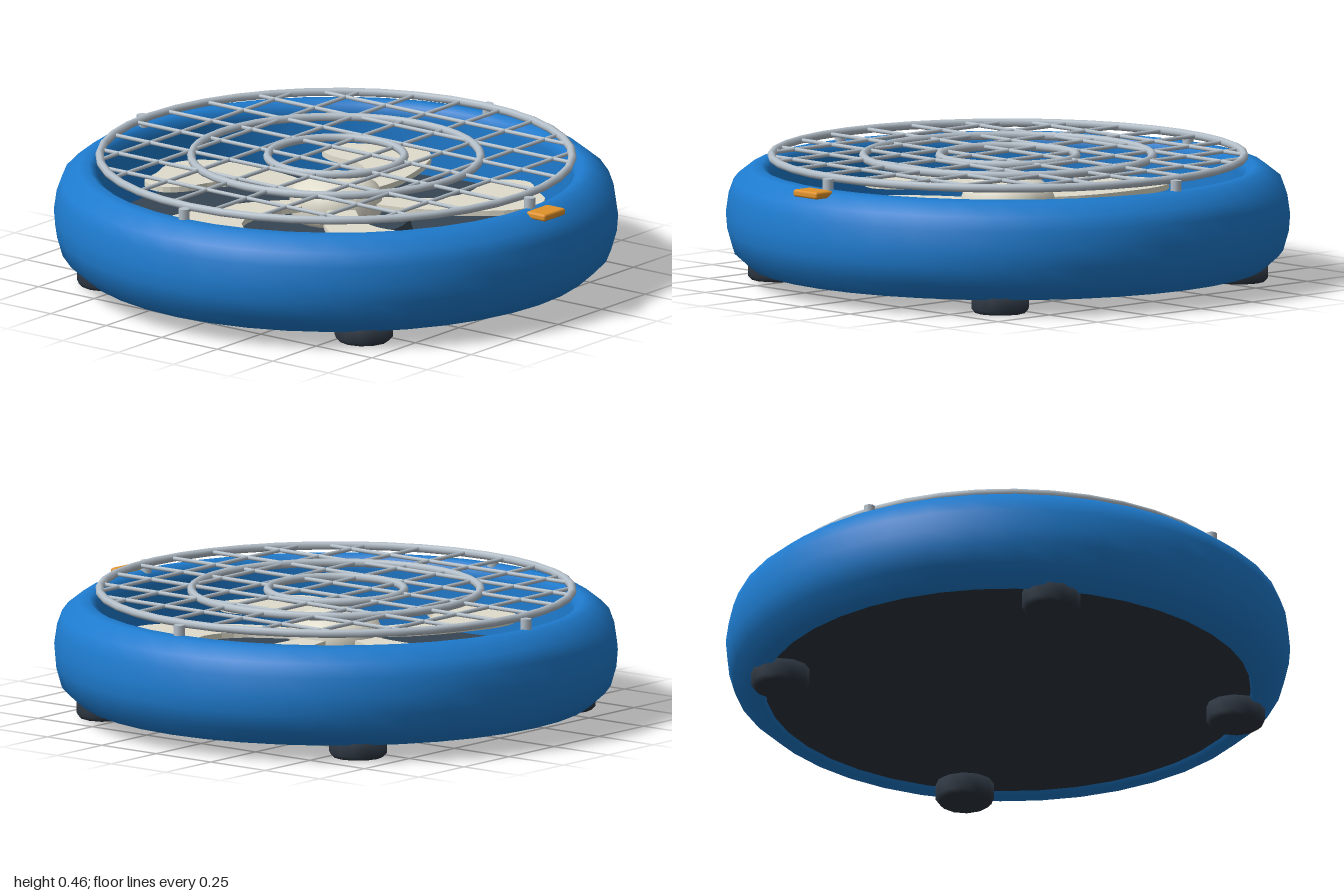
import * as THREE from 'three';
import { RoundedBoxGeometry } from 'three/addons/geometries/RoundedBoxGeometry.js';

const paint = (name, color) => {
  const m = new THREE.MeshStandardMaterial({ color });
  m.name = name;
  return m;
};

export function createModel() {
  const blue = paint('housing blue', 0x1e7bce);
  const slate = paint('floor slate', 0x364453);
  const dark = paint('dark rubber', 0x2d3641);
  const cream = paint('blade cream', 0xe0ddcd);
  const steel = paint('guard steel', 0xb4bfc9);
  const orange = paint('tab orange', 0xe0922b);

  const model = new THREE.Group();
  model.name = 'floorFan';
  const add = (name, geometry, material, x = 0, y = 0, z = 0, parent = model) => {
    const mesh = new THREE.Mesh(geometry, material);
    mesh.name = name;
    mesh.position.set(x, y, z);
    parent.add(mesh);
    return mesh;
  };
  const lathe = (pts, segments) =>
    new THREE.LatheGeometry(pts.map(([x, y]) => new THREE.Vector2(x, y)), segments);

  // Rounded ring housing, from the bottom inner edge around the outside and back down the well
  add('housing', lathe([
    [0.855, 0.08], [0.87, 0.055], [0.915, 0.056], [0.975, 0.11], [0.995, 0.18], [1, 0.24],
    [0.99, 0.31], [0.972, 0.36], [0.915, 0.405], [0.875, 0.41], [0.85, 0.395], [0.84, 0.36], [0.84, 0.1],
  ], 40), blue);

  // Base plate, well floor and motor housing
  add('basePlate', new THREE.CylinderGeometry(0.86, 0.86, 0.04, 40), dark, 0, 0.09);
  add('wellFloor', new THREE.CylinderGeometry(0.845, 0.845, 0.05, 40), slate, 0, 0.13);
  add('motorHousing', new THREE.CylinderGeometry(0.26, 0.28, 0.07, 28), slate, 0, 0.185);

  // Feet
  for (const x of [-0.58, 0.58]) for (const z of [-0.58, 0.58]) {
    add('foot', lathe([[0, 0], [0.09, 0], [0.104, 0.015], [0.104, 0.075], [0, 0.075]], 12), dark, x, 0, z);
  }

  // Rotor: domed hub and five flat swept blades
  const rotor = new THREE.Group();
  rotor.name = 'rotor';
  model.add(rotor);
  add('hub', lathe([
    [0, 0.22], [0.15, 0.22], [0.165, 0.25], [0.165, 0.3], [0.15, 0.335], [0.11, 0.362], [0.06, 0.376], [0, 0.38],
  ], 24), cream, 0, 0, 0, rotor);

  const outline = new THREE.SplineCurve([
    [0.06, 0.12], [0.12, 0.26], [0.143, 0.41], [0.138, 0.6], [0.08, 0.705], [-0.02, 0.74], [-0.13, 0.705],
    [-0.24, 0.675], [-0.265, 0.58], [-0.2, 0.51], [-0.08, 0.455], [-0.012, 0.33], [-0.03, 0.12],
  ].map(([x, y]) => new THREE.Vector2(x, y)));
  const bladeGeometry = new THREE.ExtrudeGeometry(new THREE.Shape(outline.getPoints(40)), {
    depth: 0.02, bevelEnabled: false,
  }).rotateX(-Math.PI / 2);
  for (let i = 0; i < 5; i++) {
    add('blade', bladeGeometry, cream, 0, 0.27, 0, rotor).rotation.y = -i * Math.PI * 2 / 5;
  }

  // Wire guard: three rings over a square grid of rods
  const guard = new THREE.Group();
  guard.name = 'guard';
  guard.position.y = 0.445;
  model.add(guard);
  for (const [r, tube] of [[0.838, 0.015], [0.513, 0.015], [0.243, 0.015]]) {
    add('guardRing', new THREE.TorusGeometry(r, tube, 8, 40).rotateX(Math.PI / 2), steel, 0, 0, 0, guard);
  }
  for (let i = 0; i < 8; i++) {
    const offset = (i - 3.5) * 0.179;
    const length = 2 * Math.sqrt(0.835 ** 2 - offset ** 2);
    const rod = new THREE.CylinderGeometry(0.0075, 0.0075, length, 8);
    add('guardRodAcross', rod.clone().rotateZ(Math.PI / 2), steel, 0, 0, offset, guard);
    add('guardRodDeep', rod.clone().rotateX(Math.PI / 2), steel, offset, 0, 0, guard);
  }

  // Guard posts on the rim
  for (let i = 0; i < 4; i++) {
    const a = i * Math.PI / 2;
    add('guardPost', new THREE.CylinderGeometry(0.02, 0.02, 0.045, 10), steel,
      0.872 * Math.sin(a), 0.423, 0.872 * Math.cos(a));
  }

  // Front release tab
  add('frontTab', new RoundedBoxGeometry(0.122, 0.026, 0.085, 2, 0.009), orange, 0, 0.4, 0.945);

  return model;
}
